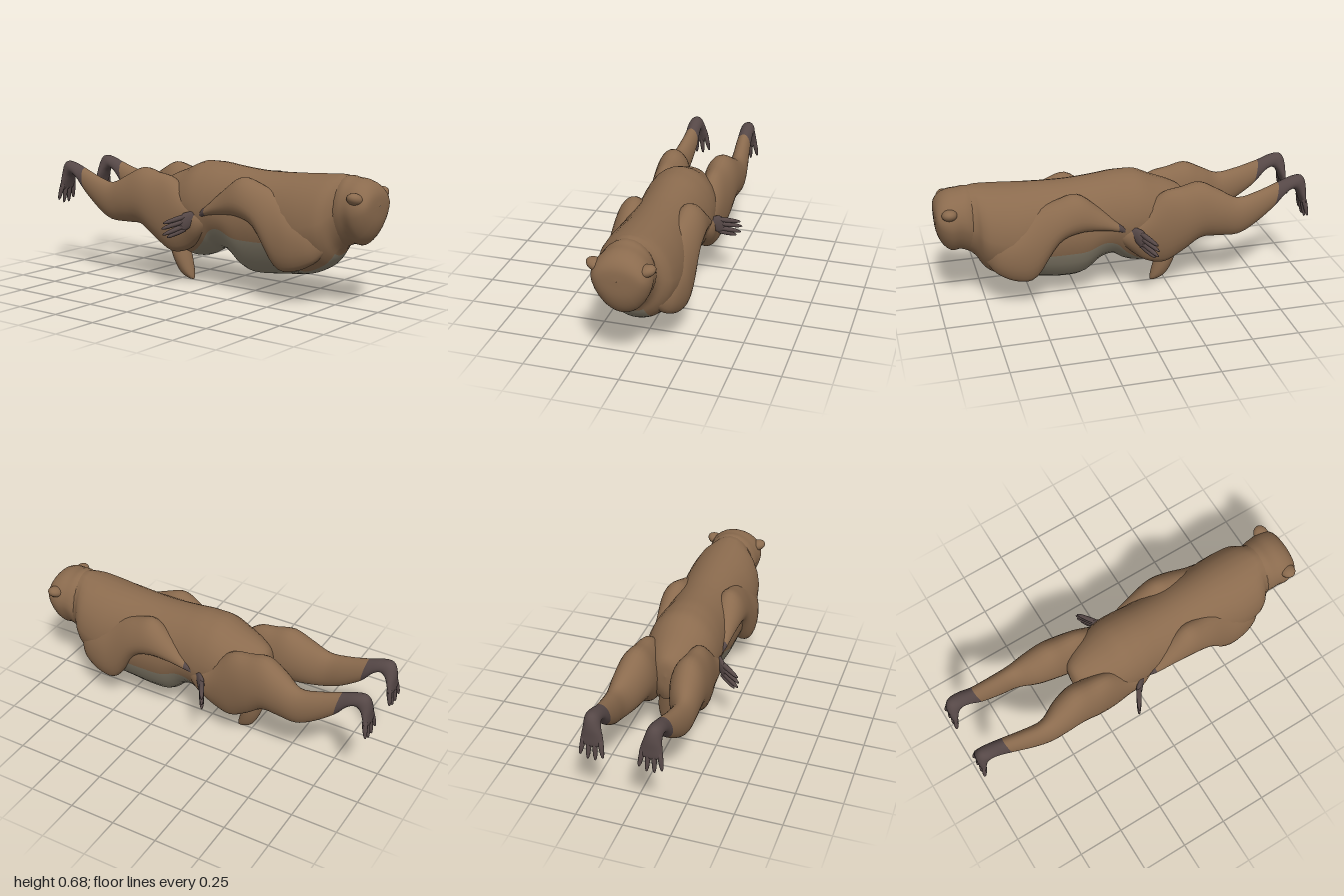
import * as THREE from 'three';

const { smoothstep } = THREE.MathUtils;
const paint = (name, color) => Object.assign(new THREE.MeshStandardMaterial({ color }), { name });

const COLS = 32, INNER = 5, STEPS = 4;

// Loft through rows [x, y, z, halfWidth, up, down, tilt].
// stripe: angle spanned by the first INNER columns either side of the underside.
// lean: sideways shear of the section. keel: above 1 makes the underside V-shaped.
function loft(name, rows, materials, { side = 1, lean = 0, keel = 1, stripe = () => 0.6, isSecond = () => false } = {}) {
  const size = 7;
  const values = rows.flatMap(([x, y, z, w, up, down, tilt = 0]) => [x, y, z, w, up, down, tilt]);
  const spline = new THREE.CubicInterpolant(rows.map((_, i) => i), values, size, new Float32Array(size));
  const rings = (rows.length - 1) * STEPS;
  const pos = [], first = [], second = [];
  for (let i = 0; i <= rings; i++) {
    const [x, y, z, w, up, down, tilt] = spline.evaluate(i / STEPS);
    const a = stripe(i / STEPS);
    for (let j = 0; j < COLS; j++) {
      const k = j <= COLS / 2 ? j : j - COLS, n = Math.abs(k);
      const angle = n <= INNER ? a * n / INNER : a + (Math.PI - a) * (n - INNER) / (COLS / 2 - INNER);
      const c = -Math.cos(angle);
      const h = c > 0 ? c * Math.max(0.001, up) : -Math.pow(-c, keel) * Math.max(0.001, down);
      pos.push(side * (x + lean * h) + Math.sign(k) * Math.max(0.001, w) * Math.sin(angle),
        y + h * Math.cos(tilt), z - h * Math.sin(tilt));
    }
  }
  for (let i = 0; i < rings; i++) {
    for (let j = 0; j < COLS; j++) {
      const a = i * COLS + j, c = i * COLS + (j + 1) % COLS, b = a + COLS, d = c + COLS;
      const underside = j < INNER || j >= COLS - INNER;
      (isSecond((i + 0.5) / STEPS, underside) ? second : first).push(a, b, c, b, d, c);
    }
  }
  const geo = new THREE.BufferGeometry();
  geo.setAttribute('position', new THREE.Float32BufferAttribute(pos, 3));
  geo.setIndex([...first, ...second]);
  geo.addGroup(0, first.length, 0);
  if (second.length) geo.addGroup(first.length, second.length, 1);
  geo.computeVertexNormals();
  const mesh = new THREE.Mesh(geo, second.length ? materials : materials[0]);
  mesh.name = name;
  return mesh;
}

// Tapered rounded finger between two points
function digit(name, from, to, r, material) {
  const a = new THREE.Vector3(...from), b = new THREE.Vector3(...to);
  const len = a.distanceTo(b);
  const profile = [[0.001, 0], [r, 0.08], [r, 0.45], [r * 0.75, 0.8], [r * 0.4, 0.96], [0.0005, 1]]
    .map(([x, t]) => new THREE.Vector2(x, t * len));
  const mesh = new THREE.Mesh(new THREE.LatheGeometry(profile, 10), material);
  mesh.position.copy(a);
  mesh.quaternion.setFromUnitVectors(new THREE.Vector3(0, 1, 0), b.sub(a).normalize());
  mesh.name = name;
  return mesh;
}

export function createModel() {
  const fur = paint('brown fur', 0x8b6b4e);
  const belly = paint('grey belly', 0x857d6b);
  const skin = paint('dark paw skin', 0x564847);
  const model = new THREE.Group();
  model.name = 'animal';

  // Long torso with a grey underside, narrow at the throat and the groin
  model.add(loft('torso', [
    [0, 0.50, 0.88, 0.12, 0.16, 0.14],
    [0, 0.48, 0.80, 0.142, 0.2, 0.185],
    [0, 0.44, 0.765, 0.178, 0.24, 0.2],
    [0, 0.42, 0.72, 0.2, 0.257, 0.225],
    [0, 0.40, 0.62, 0.21, 0.27, 0.25],
    [0, 0.40, 0.46, 0.202, 0.26, 0.274],
    [0, 0.40, 0.32, 0.197, 0.257, 0.29],
    [0, 0.40, 0.22, 0.194, 0.262, 0.275],
    [0, 0.42, 0.13, 0.19, 0.25, 0.22],
    [0, 0.43, 0.06, 0.192, 0.248, 0.215],
    [0, 0.43, 0, 0.196, 0.25, 0.25],
    [0, 0.44, -0.08, 0.192, 0.235, 0.285],
    [0, 0.44, -0.17, 0.172, 0.195, 0.28],
    [0, 0.45, -0.27, 0.125, 0.145, 0.23],
    [0, 0.46, -0.335, 0.065, 0.09, 0.12],
    [0, 0.46, -0.35, 0.001, 0.001, 0.001],
  ], [fur, belly], {
    keel: 1.2,
    stripe: t => 0.38 + 0.8 * smoothstep(t, 4, 5) - 0.95 * smoothstep(t, 7.5, 13),
    isSecond: (t, underside) => underside && t > 1.5 && t < 11.5,
  }));

  // Blunt head tapering to the chin
  model.add(loft('head', [
    [0, 0.54, 0.998, 0.001, 0.001, 0.001],
    [0, 0.54, 0.992, 0.1, 0.06, 0.09],
    [0, 0.53, 0.965, 0.138, 0.112, 0.15],
    [0, 0.52, 0.92, 0.152, 0.146, 0.184],
    [0, 0.52, 0.87, 0.146, 0.152, 0.183],
    [0, 0.50, 0.82, 0.14, 0.178, 0.185],
    [0, 0.47, 0.77, 0.11, 0.17, 0.18],
    [0, 0.45, 0.74, 0.001, 0.001, 0.001],
  ], [fur], { keel: 1.3 }));

  // Tail hanging below the hips
  model.add(loft('tail', [
    [0, 0.33, -0.32, 0.04, 0.03, 0.04, 1.8],
    [0, 0.24, -0.288, 0.06, 0.038, 0.05, 1.9],
    [0, 0.14, -0.25, 0.058, 0.05, 0.05, 1.9],
    [0, 0.06, -0.212, 0.042, 0.048, 0.036, 1.9],
    [0, 0.02, -0.182, 0.022, 0.028, 0.015, 1.9],
    [0, 0.003, -0.17, 0.001, 0.001, 0.001, 1.9],
  ], [fur]));

  for (const side of [1, -1]) {
    const label = side > 0 ? 'left' : 'right';

    // Ears blended into the upper corners of the head
    const ear = new THREE.Mesh(new THREE.SphereGeometry(0.042, 20, 14), fur);
    ear.scale.set(1.15, 0.72, 0.95);
    ear.position.set(side * 0.126, 0.582, 0.928);
    ear.rotation.z = side * 0.35;
    ear.name = label + 'Ear';
    model.add(ear);

    // Arm folded back along the flank, ending in a palm
    model.add(loft(label + 'Arm', [
      [0.11, 0.34, 0.755, 0.03, 0.05, 0.05],
      [0.13, 0.35, 0.7, 0.07, 0.11, 0.12],
      [0.142, 0.36, 0.6, 0.088, 0.14, 0.175],
      [0.146, 0.39, 0.5, 0.088, 0.17, 0.19],
      [0.156, 0.48, 0.38, 0.08, 0.128, 0.1],
      [0.162, 0.52, 0.27, 0.074, 0.115, 0.09],
      [0.168, 0.485, 0.16, 0.055, 0.07, 0.055],
      [0.178, 0.44, 0.06, 0.03, 0.026, 0.026],
      [0.17, 0.41, 0, 0.02, 0.03, 0.03],
      [0.208, 0.382, -0.045, 0.022, 0.044, 0.05],
      [0.228, 0.372, -0.07, 0.018, 0.042, 0.05],
      [0.24, 0.367, -0.085, 0.002, 0.003, 0.003],
    ], [fur, skin], { side, lean: -0.12, isSecond: t => t > 7 }));
    const fingers = [[0.403, 0.322, 0.372, -0.12], [0.38, 0.33, 0.343, -0.125],
      [0.355, 0.325, 0.31, -0.122], [0.335, 0.303, 0.295, -0.11]];
    for (const [y, tx, ty, tz] of fingers) {
      model.add(digit(label + 'Finger', [side * 0.212, y, -0.055], [side * tx, ty, tz], 0.0135, skin));
    }

    // Hind leg trailing back, with the foot bent downward
    model.add(loft(label + 'Leg', [
      [0.135, 0.38, 0.05, 0.04, 0.04, 0.04],
      [0.135, 0.37, -0.02, 0.07, 0.09, 0.1],
      [0.13, 0.38, -0.1, 0.075, 0.13, 0.175],
      [0.138, 0.4, -0.2, 0.08, 0.19, 0.215],
      [0.14, 0.43, -0.3, 0.092, 0.18, 0.19],
      [0.142, 0.46, -0.4, 0.095, 0.168, 0.15],
      [0.155, 0.45, -0.5, 0.083, 0.13, 0.135],
      [0.175, 0.43, -0.6, 0.057, 0.1, 0.11],
      [0.17, 0.455, -0.7, 0.05, 0.093, 0.095, 0.1],
      [0.16, 0.51, -0.815, 0.043, 0.078, 0.068, 0.2],
      [0.16, 0.56, -0.88, 0.04, 0.055, 0.05, 0.4],
      [0.158, 0.575, -0.93, 0.04, 0.052, 0.045, 0.75],
      [0.153, 0.545, -0.96, 0.045, 0.032, 0.032, 1.25],
      [0.15, 0.5, -0.972, 0.055, 0.02, 0.02, 1.45],
      [0.15, 0.46, -0.98, 0.056, 0.012, 0.012, 1.5],
      [0.15, 0.445, -0.983, 0.002, 0.002, 0.002, 1.5],
    ], [fur, skin], { side, isSecond: t => t > 9 }));
    for (let i = 0; i < 4; i++) {
      const x = 0.108 + i * 0.028;
      model.add(digit(label + 'Toe', [side * x, 0.49, -0.974],
        [side * (0.15 + (x - 0.15) * 1.4), 0.372 + (i % 3 ? 0 : 0.02), -0.992], 0.013, skin));
    }
  }
  return model;
}
